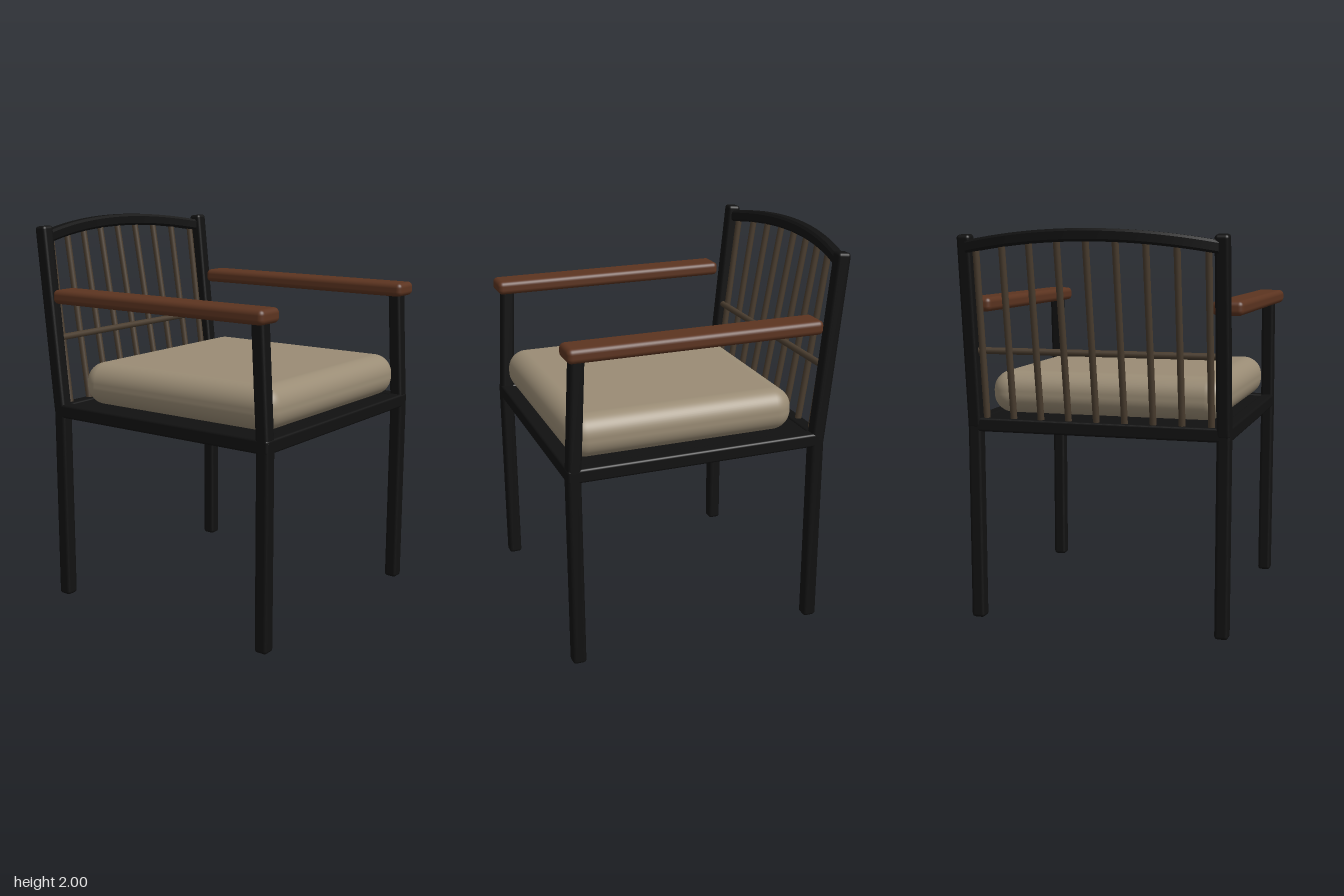
import * as THREE from 'three';
import { RoundedBoxGeometry } from 'three/addons/geometries/RoundedBoxGeometry.js';
import { toCreasedNormals } from 'three/addons/utils/BufferGeometryUtils.js';

const frameMat = new THREE.MeshStandardMaterial({ color: 0x111111 });
const woodMat = new THREE.MeshStandardMaterial({ color: 0x5c3420 });
const fabricMat = new THREE.MeshStandardMaterial({ color: 0x9a8c75 });
const spindleMat = new THREE.MeshStandardMaterial({ color: 0x4a3d2f });

const UP = new THREE.Vector3(0, 1, 0);
const T = 0.07; // thickness of the frame bars

export function createModel() {
  const chair = new THREE.Group();
  chair.name = 'armchair';

  const add = (name, geometry, material, x = 0, y = 0, z = 0) => {
    const mesh = new THREE.Mesh(geometry, material);
    mesh.name = name;
    mesh.position.set(x, y, z);
    chair.add(mesh);
    return mesh;
  };

  // Stands a geometry of the right length between two points
  const between = (name, a, b, makeGeometry, material) => {
    const dir = b.clone().sub(a);
    const mesh = add(name, makeGeometry(dir.length()), material);
    mesh.position.copy(a).add(b).multiplyScalar(0.5);
    mesh.quaternion.setFromUnitVectors(UP, dir.normalize());
  };
  const v = (x, y, z) => new THREE.Vector3(x, y, z);
  const bar = (length) => new RoundedBoxGeometry(T, length, T, 3, 0.017);
  const rod = (length) => new THREE.CylinderGeometry(0.017, 0.017, length, 12);

  // Legs, leaning posts and armrests, mirrored left and right
  for (const [side, s] of [['left', 1], ['right', -1]]) {
    const x = 0.642 * s;
    between(side + 'FrontLeg', v(x, 0, 0.73), v(x, 1.05, 0.73), bar, frameMat);
    between(side + 'BackLeg', v(x, 0, -0.555), v(x, 1.05, -0.555), bar, frameMat);
    between(side + 'ArmPost', v(x, 1.0, 0.73), v(x, 1.62, 0.697), bar, frameMat);
    between(side + 'BackPost', v(x, 1.0, -0.555), v(x, 1.97, -0.655), bar, frameMat);
    add(side + 'Armrest', new RoundedBoxGeometry(0.154, 0.072, 1.296, 4, 0.026),
      woodMat, 0.644 * s, 1.621, 0.112);
    add(side + 'SeatRail', new RoundedBoxGeometry(T, T, 1.35, 3, 0.012),
      frameMat, x, 1.017, 0.088);
  }

  // Seat frame and panel
  for (const [name, z] of [['frontSeatRail', 0.73], ['backSeatRail', -0.555]]) {
    add(name, new RoundedBoxGeometry(1.34, T, T, 3, 0.012), frameMat, 0, 1.017, z);
  }
  add('seatPanel', new THREE.BoxGeometry(1.26, 0.055, 1.26), frameMat, 0, 1.017, 0.088);

  // Cushion
  add('cushion', new RoundedBoxGeometry(1.23, 0.22, 1.192, 8, 0.1), fabricMat, 0, 1.165, 0.14);

  // Top rail: a straight bar bowed upwards and backwards
  const half = 0.63;
  const bow = (x) => 1 - (x / half) ** 2;
  const railY = (x) => 1.91 + 0.057 * bow(x);
  const railZ = (x) => -0.66 - 0.07 * bow(x);
  const h = 0.031, c = 0.012;
  const section = new THREE.Shape([
    [-h + c, -h], [h - c, -h], [h, -h + c], [h, h - c],
    [h - c, h], [-h + c, h], [-h, h - c], [-h, -h + c],
  ].map(([x, y]) => new THREE.Vector2(x, y)));
  const rail = new THREE.ExtrudeGeometry(section, { depth: half * 2, steps: 28, bevelEnabled: false });
  rail.translate(0, 0, -half).rotateY(Math.PI / 2);
  const p = rail.attributes.position;
  for (let i = 0; i < p.count; i++) {
    const x = p.getX(i);
    p.setXYZ(i, x, p.getY(i) + railY(x), p.getZ(i) + railZ(x));
  }
  add('topRail', toCreasedNormals(rail, 0.6), frameMat);

  // Nine spindles fanning back to the bowed rail, and their cross rod
  for (let i = -4; i <= 4; i++) {
    const x = i * 0.145;
    between('spindle' + (i + 5), v(x, 1.03, -0.56), v(x, railY(x), railZ(x)), rod, spindleMat);
  }
  between('crossRod', v(-0.63, 1.395, -0.588), v(0.63, 1.395, -0.588), rod, spindleMat);

  return chair;
}
